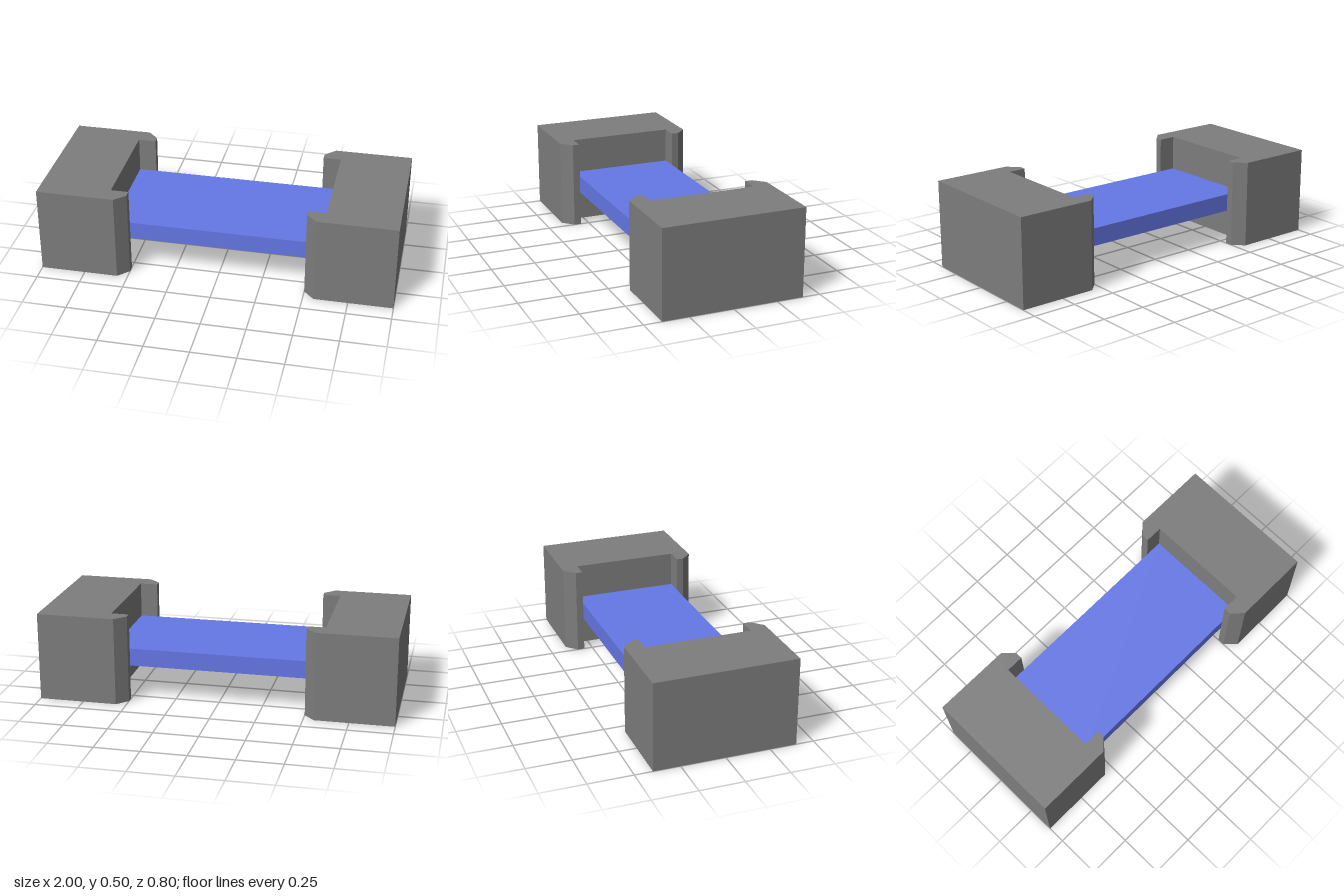
import * as THREE from 'three';

const HEIGHT = 0.5;

// Block outline seen from above: chamfered inner corners and a slot facing the middle
function blockGeometry() {
  const half = [[1, 0.4], [0.56, 0.4], [0.5, 0.34], [0.5, 0.3], [0.6, 0.3]];
  const mirrored = half.map(([x, z]) => [x, -z]).reverse();
  const outline = [...half, ...mirrored].map(([x, z]) => new THREE.Vector2(x, z));
  const geometry = new THREE.ExtrudeGeometry(new THREE.Shape(outline), {
    depth: HEIGHT,
    bevelEnabled: false,
  });
  return geometry.rotateX(-Math.PI / 2);
}

export function createModel() {
  const model = new THREE.Group();
  model.name = 'slottedBlocksWithPlate';

  // Two identical dark end blocks, one turned half way round
  const darkGrey = new THREE.MeshStandardMaterial({ color: 0x7d7d7d, flatShading: true });
  const geometry = blockGeometry();
  for (const [name, turn] of [['leftBlock', 0], ['rightBlock', Math.PI]]) {
    const block = new THREE.Mesh(geometry, darkGrey);
    block.name = name;
    block.rotation.y = turn;
    model.add(block);
  }

  // Flat plate held in both slots
  const blue = new THREE.MeshStandardMaterial({ color: 0x6577e6, flatShading: true });
  const plate = new THREE.Mesh(new THREE.BoxGeometry(1.2, 0.1, 0.6), blue);
  plate.name = 'plate';
  plate.position.y = HEIGHT / 2;
  model.add(plate);

  return model;
}
